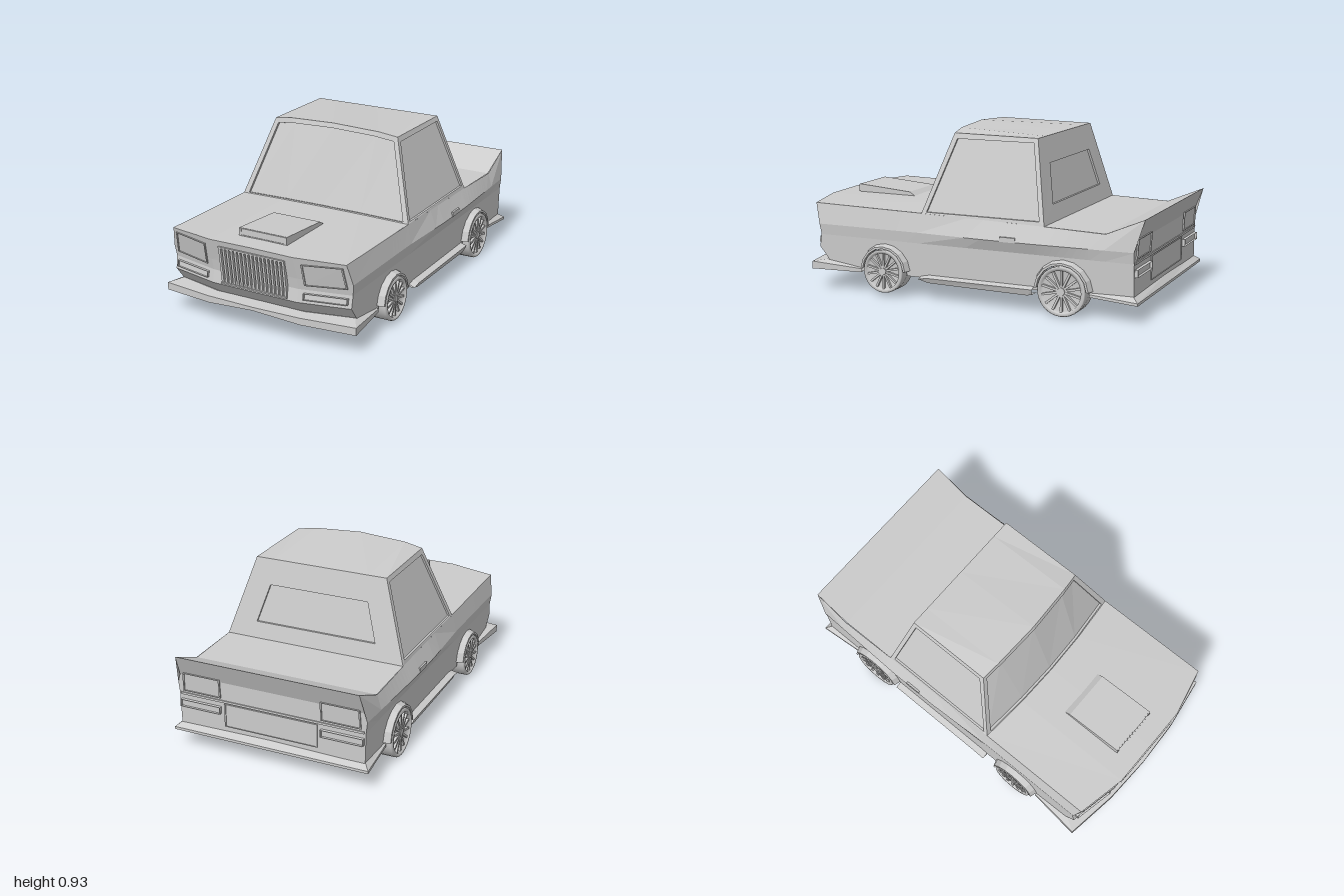
import * as THREE from 'three';

const flat = new THREE.MeshStandardMaterial({ color: 0xcccccc, flatShading: true, side: THREE.DoubleSide });
const smooth = new THREE.MeshStandardMaterial({ color: 0xcccccc, side: THREE.DoubleSide });

export function createModel() {
  const car = new THREE.Group();
  car.name = 'car';

  const add = (name, geo, mat = flat, parent = car) => {
    const m = new THREE.Mesh(geo, mat);
    m.name = name;
    parent.add(m);
    return m;
  };
  const box = (name, w, h, d, x, y, z, parent = car) => {
    const m = add(name, new THREE.BoxGeometry(w, h, d), flat, parent);
    m.position.set(x, y, z);
    return m;
  };
  // Sheet through rows of [x, y, z] points
  const sheet = (rows) => {
    const n = rows[0].length, idx = [];
    for (let i = 0; i < rows.length - 1; i++)
      for (let j = 0; j < n - 1; j++) {
        const a = i * n + j, b = a + n;
        idx.push(a, b, a + 1, a + 1, b, b + 1);
      }
    const g = new THREE.BufferGeometry();
    g.setAttribute('position', new THREE.Float32BufferAttribute(rows.flat(2), 3));
    g.setIndex(idx);
    const out = g.toNonIndexed();
    out.computeVertexNormals();
    return out;
  };
  const shift = (pts, d) => pts.map(p => p.map((v, i) => v + d[i]));
  const loop = (top, bottom) => [...top, ...[...bottom].reverse(), top[0]];
  // Piecewise linear lookup in [[key, value], ...]
  const lookup = (t, k) => {
    if (k <= t[0][0]) return t[0][1];
    for (let i = 1; i < t.length; i++)
      if (k <= t[i][0])
        return t[i - 1][1] + (t[i][1] - t[i - 1][1]) * (k - t[i - 1][0]) / (t[i][0] - t[i - 1][0]);
    return t[t.length - 1][1];
  };

  // Body outlines
  const noseLine = [[0.12, 0.92], [0.17, 0.92], [0.24, 0.975], [0.31, 0.963], [0.37, 0.973], [0.49, 1]];
  const noseZ = (x, y) => lookup(noseLine, y) - 0.06 * Math.max(0, (Math.abs(x) - 0.25) / 0.275);
  const tailZ = y => lookup([[0.12, -0.95], [0.42, -0.95], [0.54, -1]], y);
  const topY = z => lookup([[-1, 0.54], [-0.79, 0.45], [-0.45, 0.46], [0.28, 0.475], [0.94, 0.485]], z);
  const sideX = (y, z) => {
    const bulge = lookup([[-0.95, 0], [-0.4, 0.018], [-0.1, 0.018], [0.3, 0]], z);
    return lookup([[0.12, 0.535], [0.31, 0.54], [0.37, 0.547 + bulge], [0.46, 0.525]], y);
  };

  const wheels = [{ z: 0.49, y: 0.14, r: 0.121 }, { z: -0.565, y: 0.135, r: 0.134 }];
  const levels = [0.37, 0.31, 0.24, 0.17, 0.12];

  // Side columns, with the wheel arches cut out
  const columns = [{ z: 0.94, floor: 0 }];
  for (const w of wheels) {
    const R = w.r + 0.008;
    columns.push({ z: w.z + R + 0.002, floor: 0 });
    for (let i = 0; i <= 10; i++) {
      const a = Math.PI * i / 10;
      columns.push({ z: w.z + R * Math.cos(a), floor: w.y + R * Math.sin(a) });
    }
    columns.push({ z: w.z - R - 0.002, floor: 0 });
    if (w.z > 0) for (const z of [0.28, 0, -0.1, -0.3, -0.4]) columns.push({ z, floor: 0 });
  }
  columns.push({ z: -0.79, floor: 0 }, { z: -0.95, floor: 0 });

  for (const s of [1, -1]) {
    const rows = columns.map((c, i) => {
      const last = i === columns.length - 1;
      const top = last ? 0.54 : topY(c.z);
      return [top, ...levels].map(y0 => {
        const y = Math.max(y0, c.floor);
        const x = sideX(y, c.z);
        const z = i === 0 ? noseZ(x, y) : last ? tailZ(y) : c.z;
        return [s * x, y, z];
      });
    });
    add('bodySide', sheet(rows));
  }

  // Nose, hood, rear deck with raised spoiler, and tail
  const across = [-1, -0.476, 0, 0.476, 1];
  add('nose', sheet([0.485, ...levels].map(y => across.map(u => {
    const x = u * sideX(y, 0.94);
    return [x, y + (y > 0.4 ? 0.01 * (1 - u * u) : 0), noseZ(x, y)];
  }))));
  const cowl = across.map(u => [u * 0.525, 0.475 + 0.018 * (1 - u * u), 0.30 - 0.03 * u * u]);
  add('hood', sheet([across.map(u => [u * 0.525, 0.485 + 0.01 * (1 - u * u), noseZ(u * 0.525, 0.49)]), cowl]));
  add('rearDeck', sheet([[-0.45, 0.46], [-0.79, 0.45]].map(([z, y]) => [[-0.525, y, z], [0.525, y, z]])));
  add('spoiler', sheet([[-0.79, 0.45], [-1, 0.54]].map(([z, y]) => [[-0.525, y, z], [0.525, y, z]])));
  add('tail', sheet([0.54, 0.42, ...levels].map(y => [-1, 1].map(s => [s * sideX(y, -0.95), y, tailZ(y)]))));

  // Cabin: each wall is a frame around an inset pane
  const wall = (name, top, bottom, inTop, inBottom, inset) => {
    const t = shift(inTop, inset), b = shift(inBottom, inset);
    add(name + 'Frame', sheet([loop(top, bottom), loop(inTop, inBottom), loop(t, b)]));
    add(name + 'Pane', sheet([t, b]));
  };
  const brow = [-1, -0.72, 0, 0.72, 1].map(u => [u * 0.385, 0.935 - 0.03 * Math.pow(Math.abs(u), 2.5), 0.16 - 0.025 * u * u]);
  const mix = (a, b, t) => a.map((v, i) => v + (b[i] - v) * t);
  const slide = (from, to, t, k) => from.map((p, i) => { const q = mix(p, to[i], t); return [q[0] * k, q[1], q[2]]; });
  wall('windshield', brow, cowl, slide(brow, cowl, 0.06, 0.93), slide(brow, cowl, 0.985, 0.94), [0, -0.004, -0.014]);
  add('roof', sheet([brow, brow.map(p => [p[0], 0.9, -0.355])]));
  wall('rearWindow', [[-0.385, 0.9, -0.355], [0.385, 0.9, -0.355]], [[-0.525, 0.46, -0.45], [0.525, 0.46, -0.45]],
    [[-0.29, 0.76, -0.385], [0.29, 0.76, -0.385]], [[-0.355, 0.55, -0.431], [0.355, 0.55, -0.431]], [0, 0, 0.012]);
  for (const s of [1, -1]) {
    const onSide = (y, z) => [s * (0.525 - 0.14 * (y - 0.468) / 0.435), y, z];
    wall('sideWindow', [[s * 0.385, 0.905, 0.135], [s * 0.385, 0.9, -0.355]], [[s * 0.525, 0.475, 0.27], [s * 0.525, 0.46, -0.45]],
      [onSide(0.875, 0.115), onSide(0.875, -0.335)], [onSide(0.482, 0.242), onSide(0.482, -0.42)], [-s * 0.012, 0, 0]);
  }

  // Raised rim with a sunken lens, from four corners
  const lamp = (name, c, d, rim = 0.07) => {
    const mid = c[0].map((_, i) => (c[0][i] + c[1][i] + c[2][i] + c[3][i]) / 4);
    const inner = c.map(p => mix(p, mid, rim));
    const ring = p => [...p, p[0]];
    const low = shift(inner, [0, 0, d * 0.25]), high = [0, 0, d];
    add(name + 'Rim', sheet([ring(c), ring(shift(c, high)), ring(shift(inner, high)), ring(low)]));
    add(name + 'Lens', sheet([[low[0], low[1]], [low[3], low[2]]]));
  };
  const onNose = (x, y) => [x, y, noseZ(x, y)];
  const onTail = (x, y) => [x, y, tailZ(y)];
  for (const s of [1, -1]) {
    lamp('headlight', [onNose(s * 0.29, 0.457), onNose(s * 0.505, 0.464), onNose(s * 0.518, 0.343), onNose(s * 0.295, 0.335)], 0.008);
    lamp('frontIndicator', [[0.29, 0.293], [0.52, 0.293], [0.52, 0.26], [0.29, 0.26]].map(([x, y]) => onNose(s * x, y)), 0.014, 0.04);
    lamp('tailLight', [[0.29, 0.435], [0.51, 0.435], [0.515, 0.33], [0.29, 0.33]].map(([x, y]) => onTail(s * x, y)), -0.008);
    lamp('rearIndicator', [[0.29, 0.28], [0.53, 0.28], [0.53, 0.24], [0.29, 0.24]].map(([x, y]) => onTail(s * x, y)), -0.018, 0.04);
    box('doorHandle', 0.02, 0.026, 0.09, s * 0.556, 0.38, -0.255);
  }
  lamp('platePanel', [[-0.27, 0.3], [0.27, 0.3], [0.27, 0.17], [-0.27, 0.17]].map(([x, y]) => onTail(x, y)), -0.006, 0.03);
  box('tailStrip', 1.06, 0.012, 0.01, 0, 0.312, -0.951);

  // Grille with upright slats
  const grille = new THREE.Group();
  grille.name = 'grille';
  car.add(grille);
  for (let i = 0; i < 17; i++)
    box('grilleSlat', 0.013, 0.208, 0.02, -0.192 + i * 0.024, 0.355, 0.978, grille).rotation.x = 0.12;
  for (const y of [0.253, 0.458]) box('grilleRail', 0.4, 0.008, 0.02, 0, y, noseZ(0, y), grille);

  // Hood scoop
  const scoop = new THREE.Shape([[0.49, 0.475], [0.88, 0.48], [0.88, 0.538], [0.55, 0.513]].map(p => new THREE.Vector2(...p)));
  add('hoodScoop', new THREE.ExtrudeGeometry(scoop, { depth: 0.29, bevelEnabled: false }).rotateY(-Math.PI / 2).translate(0.145, 0, 0));
  lamp('scoopMouth', [[-0.145, 0.536, 0.88], [0.145, 0.536, 0.88], [0.145, 0.498, 0.88], [-0.145, 0.498, 0.88]], 0.005, 0.1);

  // Lower lips: half paths of [inner x, inner z, outer x, outer z, inner y, upper y, lower y]
  const lip = (name, half) => {
    const full = [...half, ...half.slice(0, -1).reverse().map(p => [-p[0], p[1], -p[2], ...p.slice(3)])];
    add(name, sheet([
      full.map(p => [p[0], p[4], p[1]]), full.map(p => [p[2], p[5], p[3]]),
      full.map(p => [p[2], p[6], p[3]]), full.map(p => [p[0], p[6], p[1]])]));
  };
  lip('frontLip', [[0.53, 0.64, 0.545, 0.64, 0.14, 0.135, 0.115], [0.53, 0.86, 0.58, 0.94, 0.17, 0.158, 0.116],
    [0.27, 0.92, 0.28, 0.985, 0.17, 0.162, 0.124], [0, 0.92, 0, 0.998, 0.172, 0.165, 0.146]]);
  lip('rearLip', [[0.53, -0.71, 0.545, -0.71, 0.14, 0.13, 0.115], [0.53, -0.94, 0.565, -0.98, 0.145, 0.115, 0.1],
    [0, -0.95, 0, -0.98, 0.145, 0.115, 0.1]]);

  for (const s of [1, -1]) {
    // Side skirt
    add('sideSkirt', sheet([[0.27, 0.13, 0.115], [0.22, 0.14, 0.1], [-0.37, 0.14, 0.093], [-0.4, 0.14, 0.1]].map(([z, a, b]) =>
      [[s * 0.53, a, z], [s * 0.572, a - 0.012, z], [s * 0.56, b, z], [s * 0.5, b, z]])));

    for (const w of wheels) {
      // Arch flare
      const R = w.r + 0.006, arch = [];
      for (let i = 0; i <= 8; i++) {
        const a = Math.PI * (0.02 + 0.96 * i / 8), c = Math.cos(a), n = Math.sin(a);
        const at = (x, r) => [s * x, w.y + r * n, w.z + r * c];
        arch.push([at(0.525, R), at(0.574, R), at(0.574, R + 0.012), at(0.53, R + 0.026)]);
      }
      add('archFlare', sheet(arch));

      // Wheel, built with its axle on y and then turned outward
      const wheel = new THREE.Group();
      wheel.name = w.z > 0 ? 'frontWheel' : 'rearWheel';
      const r = w.r, profile = [[0, -0.057], [r, -0.057], [r, 0.05], [r * 0.97, 0.057], [r * 0.84, 0.057], [r * 0.8, 0.035], [0, 0.035]];
      add('tyre', new THREE.LatheGeometry(profile.map(p => new THREE.Vector2(...p)), 32), smooth, wheel);
      add('hub', new THREE.CylinderGeometry(r * 0.16, r * 0.2, 0.02, 12).translate(0, 0.045, 0), flat, wheel);
      for (let i = 0; i < 14; i++) {
        const spoke = new THREE.BoxGeometry(r * 0.68, 0.014, r * 0.09).translate(r * 0.48, 0.044, 0);
        add('spoke', spoke.rotateY(i * Math.PI / 7), flat, wheel);
      }
      wheel.rotation.z = -s * Math.PI / 2;
      wheel.position.set(s * 0.518, w.y, w.z);
      car.add(wheel);
    }
  }
  return car;
}
